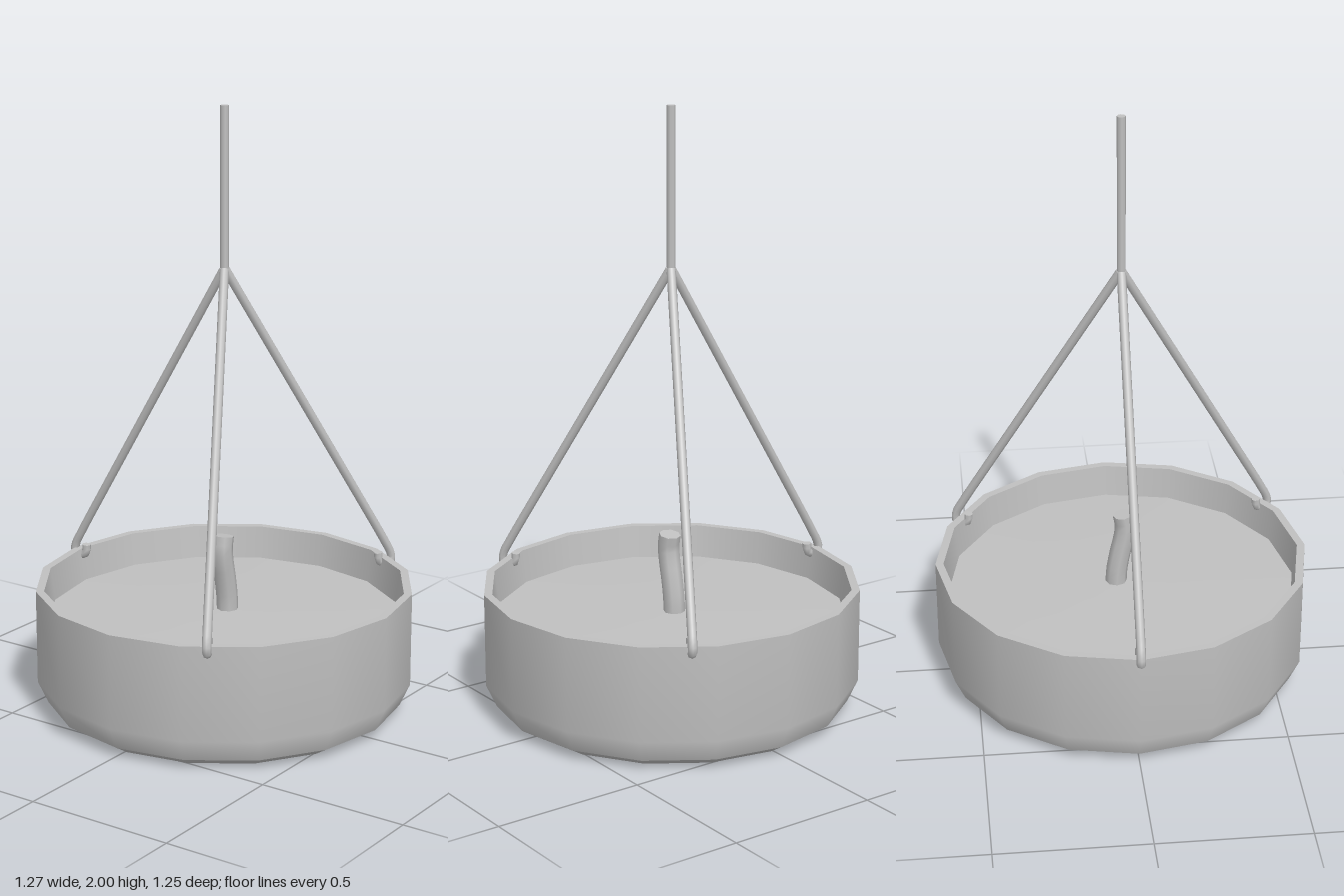
import * as THREE from 'three';

const SIDES = 16;
const CENTRE_X = 0.0075; // the bowl's axis, since the hooks reach further on one side
const grey = new THREE.MeshStandardMaterial({ color: 0xc0c0c0 });
grey.name = 'plain grey';

const vec = (x, y, z) => new THREE.Vector3(x, y, z);

function add(parent, name, geometry) {
  const mesh = new THREE.Mesh(geometry, grey);
  mesh.name = name;
  parent.add(mesh);
  return mesh;
}

// Turned part from [radius, height] pairs
function turned(parent, name, profile) {
  const points = profile.map(([r, y]) => new THREE.Vector2(r, y));
  return add(parent, name, new THREE.LatheGeometry(points, SIDES));
}

// Tube along a path with both ends closed by flat discs
function rod(parent, name, curve, steps, radius, sides) {
  const group = new THREE.Group();
  group.name = name;
  add(group, name + 'Body', new THREE.TubeGeometry(curve, steps, radius, sides));
  for (const [t, sign] of [[0, -1], [1, 1]]) {
    const cap = add(group, name + 'End', new THREE.CircleGeometry(radius, sides));
    const dir = curve.getTangentAt(t).multiplyScalar(sign);
    cap.position.copy(curve.getPointAt(t));
    cap.quaternion.setFromUnitVectors(vec(0, 0, 1), dir);
  }
  parent.add(group);
  return group;
}

export function createModel() {
  const model = new THREE.Group();
  model.name = 'hangingCandleBowl';
  const candle = new THREE.Group();
  candle.name = 'candle';
  candle.position.x = CENTRE_X;
  model.add(candle);

  // Bowl, split where its edges are sharp
  const bowl = new THREE.Group();
  bowl.name = 'bowl';
  turned(bowl, 'bowlBase', [[0, 0.003], [0.54, 0.003], [0.592, 0.035]]);
  turned(bowl, 'bowlWall', [[0.592, 0.035], [0.626, 0.11], [0.626, 0.424]]);
  turned(bowl, 'bowlRim', [[0.626, 0.424], [0.599, 0.424]]);
  turned(bowl, 'bowlInside', [[0.599, 0.424], [0.584, 0.3]]);
  candle.add(bowl);

  // Wax, rising slightly towards the wick
  turned(candle, 'wax', [[0.59, 0.312], [0.4, 0.317], [0.18, 0.322], [0, 0.324]]);

  // Bent wick with a slanted top
  const wickPath = new THREE.CatmullRomCurve3([
    vec(0, 0.29, -0.018), vec(0, 0.36, -0.016), vec(0, 0.43, -0.005),
    vec(0, 0.5, 0.01), vec(0, 0.54, 0.014), vec(0, 0.583, 0.007),
  ]);
  rod(candle, 'wick', wickPath, 10, 0.036, 8);

  // Vertical hanger
  rod(candle, 'hanger', new THREE.LineCurve3(vec(0, 1.465, 0), vec(0, 2, 0)), 1, 0.014, 8);

  // Three sloping rods that hook through the bowl wall
  const hook = new THREE.CatmullRomCurve3([
    vec(0.562, 0.55, 0), vec(0.602, 0.482, 0), vec(0.627, 0.435, 0), vec(0.629, 0.408, 0),
    vec(0.605, 0.4, 0), vec(0.583, 0.412, 0), vec(0.58, 0.441, 0),
  ]);
  const path = new THREE.CurvePath();
  path.add(new THREE.LineCurve3(vec(0.003, 1.475, 0), vec(0.562, 0.55, 0)));
  path.add(hook);
  for (let i = 0; i < 3; i++) {
    const arm = rod(candle, 'supportRod', path, 80, 0.015, 8);
    arm.rotation.y = Math.PI / 3 + i * Math.PI * 2 / 3;
  }

  return model;
}
